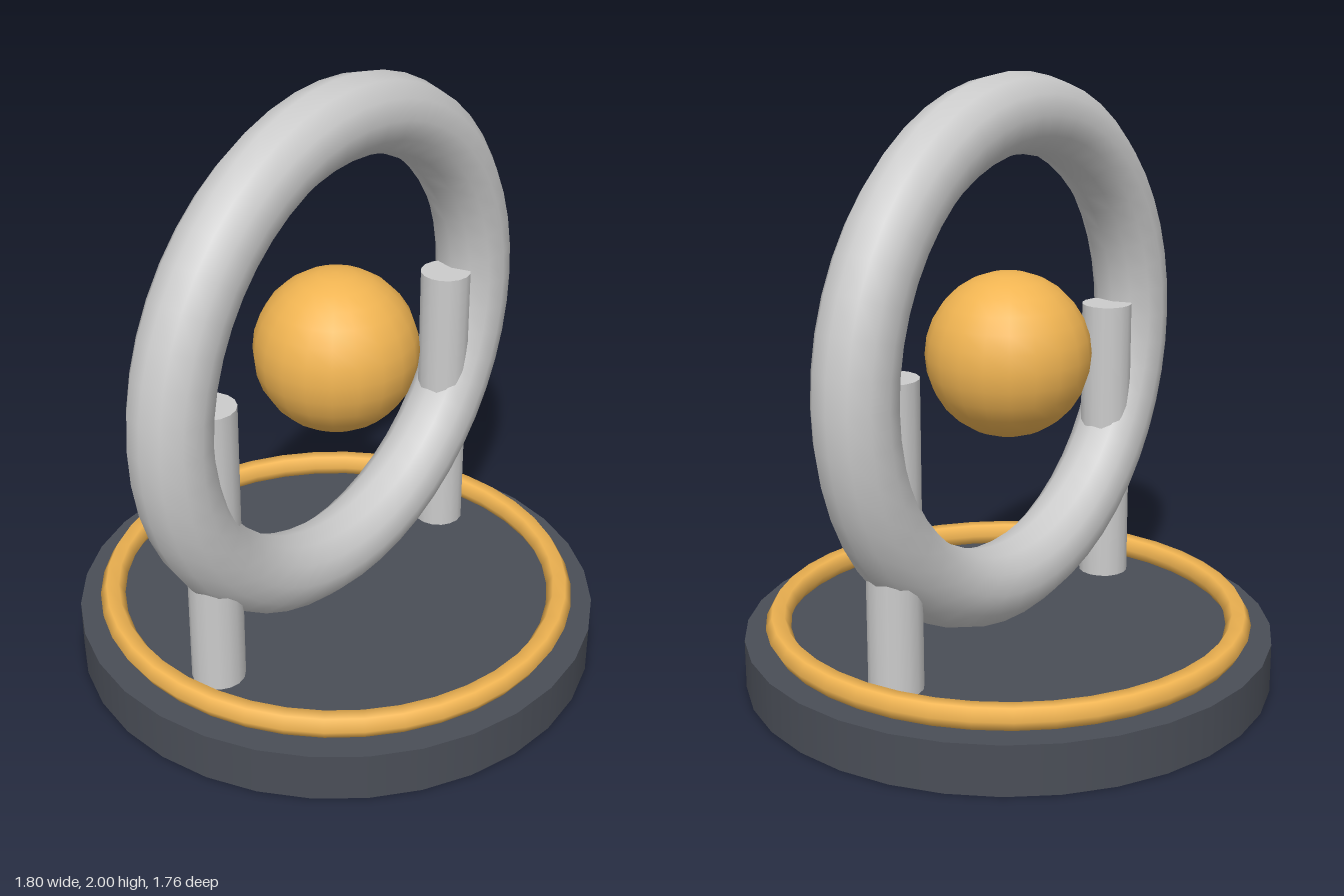
import * as THREE from 'three';

const grey = new THREE.MeshStandardMaterial({ color: 0xcccccc });
const dark = new THREE.MeshStandardMaterial({ color: 0x4a4e57 });
const gold = new THREE.MeshStandardMaterial({ color: 0xf0b452 });

export function createModel() {
  const model = new THREE.Group();
  const add = (name, geometry, material, x, y) => {
    const mesh = new THREE.Mesh(geometry, material);
    mesh.name = name;
    mesh.position.set(x, y, 0);
    model.add(mesh);
    return mesh;
  };

  // round pedestal
  const baseHeight = 0.165;
  add('base', new THREE.CylinderGeometry(0.88, 0.88, baseHeight, 32), dark, 0, baseHeight / 2);

  // trim ring lying on the pedestal
  const trim = add('baseTrim', new THREE.TorusGeometry(0.768, 0.042, 6, 40), gold, 0, 0.2);
  trim.rotation.x = Math.PI / 2;

  // two posts that carry the upright ring
  const postTop = 1.155;
  const postGeometry = new THREE.CylinderGeometry(0.087, 0.087, postTop - baseHeight, 16);
  for (const [name, side] of [['leftPost', 1], ['rightPost', -1]]) {
    add(name, postGeometry, grey, side * 0.605, (postTop + baseHeight) / 2);
  }

  // upright ring with a ball floating at its centre
  add('ring', new THREE.TorusGeometry(0.77, 0.13, 12, 48), grey, 0, 1.1);
  add('ball', new THREE.SphereGeometry(0.27, 20, 14), gold, 0, 1.1);

  return model;
}
